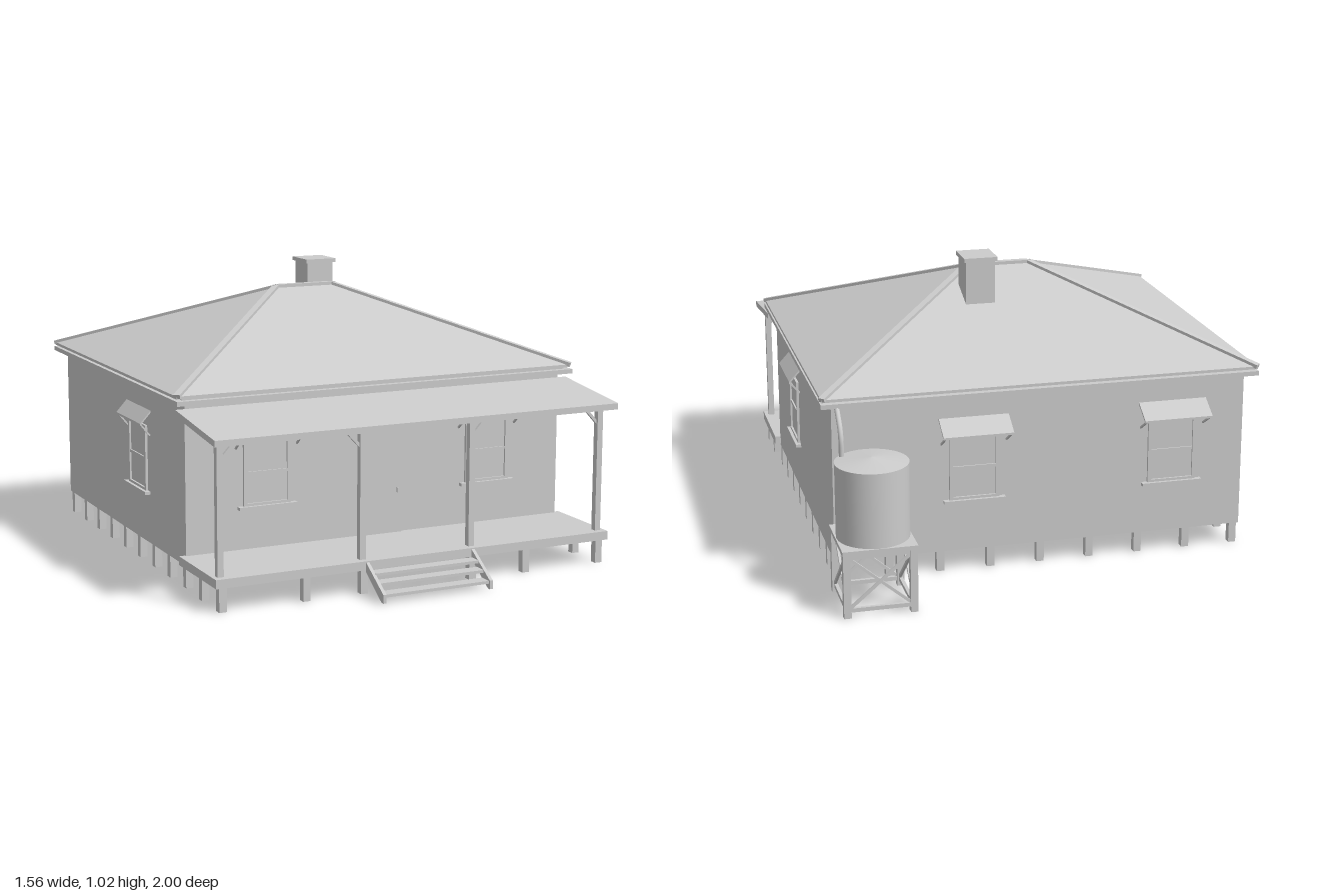
import * as THREE from 'three';

export function createModel() {
  const root = new THREE.Group();
  root.name = 'house';
  const grey = new THREE.MeshStandardMaterial({ color: 0xcccccc });
  grey.name = 'plain grey';

  const add = (parent, name, geo, x = 0, y = 0, z = 0) => {
    const m = new THREE.Mesh(geo, grey);
    m.name = name;
    m.position.set(x, y, z);
    parent.add(m);
    return m;
  };
  // box given by its minimum and maximum on each axis
  const box = (parent, name, x0, x1, y0, y1, z0, z1) =>
    add(parent, name, new THREE.BoxGeometry(x1 - x0, y1 - y0, z1 - z0), (x0 + x1) / 2, (y0 + y1) / 2, (z0 + z1) / 2);
  // straight bar between two points in the parent's own frame
  const up = new THREE.Vector3(0, 1, 0);
  const bar = (parent, name, a, b, w, h = w) => {
    const p = new THREE.Vector3(...a), q = new THREE.Vector3(...b);
    const m = add(parent, name, new THREE.BoxGeometry(w, h, p.distanceTo(q)));
    m.quaternion.setFromRotationMatrix(new THREE.Matrix4().lookAt(q, p, up));
    m.position.copy(p).add(q).multiplyScalar(0.5);
  };
  const group = (name, parent = root) => {
    const g = new THREE.Group();
    g.name = name;
    parent.add(g);
    return g;
  };
  // side outline in (z, y) extruded along x
  const sideExtrude = (parent, name, pts, x0, x1) => {
    const shape = new THREE.Shape(pts.map(([z, y]) => new THREE.Vector2(-z, y)));
    const geo = new THREE.ExtrudeGeometry(shape, { depth: x1 - x0, bevelEnabled: false });
    geo.rotateY(Math.PI / 2);
    add(parent, name, geo, x0, 0, 0);
  };

  // Walls
  const WX = 0.735, ZF = 0.55, ZB = -0.70;
  box(root, 'walls', -WX, WX, 0.08, 0.66, ZB, ZF);

  // Hipped roof
  const RX = 0.772, RF = 0.575, RB = -0.735, EY = 0.675, RY = 0.936, RZ = -0.078, HX = 0.115;
  const A = [-RX, EY, RF], B = [RX, EY, RF], C = [RX, EY, RB], D = [-RX, EY, RB];
  const L = [-HX, RY, RZ], R = [HX, RY, RZ];
  const roofGeo = new THREE.BufferGeometry();
  const faces = [A, B, R, A, R, L, B, C, R, C, D, L, C, L, R, D, A, L, A, D, C, A, C, B];
  roofGeo.setAttribute('position', new THREE.Float32BufferAttribute(faces.flat(), 3));
  roofGeo.computeVertexNormals();
  const roof = group('roof');
  add(roof, 'roofSlopes', roofGeo);
  box(roof, 'roofEave', -RX, RX, 0.665, EY, RB, RF);
  box(roof, 'soffit', -0.75, 0.75, 0.655, 0.667, -0.715, 0.565);
  [[A, L], [D, L], [B, R], [C, R], [L, R]].forEach(([p, q]) => bar(roof, 'ridgeCap', p, q, 0.024, 0.014));
  // Gutters
  box(roof, 'frontGutter', -0.775, 0.775, 0.643, 0.659, ZF, 0.587);
  box(roof, 'backGutter', -0.775, 0.775, 0.643, 0.659, -0.74, ZB);
  for (const s of [-1, 1]) add(roof, 'sideGutter', new THREE.BoxGeometry(0.04, 0.016, 1.327), s * 0.755, 0.651, -0.0765);

  // Chimney
  const chimney = group('chimney');
  box(chimney, 'chimneyStack', 0.066, 0.172, 0.78, 1.006, -0.30, -0.187);
  box(chimney, 'chimneyCap', 0.058, 0.18, 1.003, 1.017, -0.308, -0.18);

  // Verandah
  const verandah = group('verandah');
  sideExtrude(verandah, 'verandahRoof', [[ZF, 0.626], [ZF, 0.604], [0.897, 0.563], [0.897, 0.585]], -0.768, 0.768);
  box(verandah, 'verandahDeck', -0.757, 0.757, 0.085, 0.116, ZF - 0.01, 0.87);
  for (const x of [-0.73, -0.21, 0.21, 0.73]) {
    box(verandah, 'verandahPost', x - 0.011, x + 0.011, 0.11, 0.575, 0.822, 0.845);
    const s = (Math.abs(x) > 0.5 ? -1 : 1) * Math.sign(x);
    bar(verandah, 'postBrace', [x + s * 0.008, 0.508, 0.833], [x + s * 0.062, 0.566, 0.833], 0.01);
  }

  // Front steps
  const steps = group('frontSteps');
  for (const s of [-1, 1]) {
    const x = s * 0.204;
    sideExtrude(steps, 'stringer', [[0.87, 0.112], [0.87, 0.078], [0.985, 0.002], [0.998, 0.002], [0.998, 0.032]], x - 0.006, x + 0.006);
  }
  [[0.885, 0.079], [0.92, 0.054], [0.957, 0.025]].forEach(([z, y]) =>
    box(steps, 'tread', -0.2, 0.2, y - 0.005, y + 0.005, z - 0.012, z + 0.034));

  // Stumps: perimeter rows, a sparse inner grid and the verandah rows
  const stumps = group('stumps');
  const stump = (x, z) => box(stumps, 'stump', x - 0.0135, x + 0.0135, 0, 0.09, z - 0.0135, z + 0.0135);
  for (let i = 0; i < 9; i++) {
    const x = -0.72 + i * 0.18;
    for (let j = 0; j < 9; j++) {
      const edge = i === 0 || i === 8 || j === 0 || j === 8;
      if (edge || (i % 2 === 0 && j % 2 === 0)) stump(x, -0.67 + j * 0.15);
    }
  }
  for (const s of [-1, 1]) {
    stump(s * 0.728, 0.695);
    for (const x of [0.728, 0.425, 0.21]) stump(s * x, 0.845);
  }

  // Window facing +z, with sash, sill and sloping awning
  const makeWindow = (name, x, z, turn, depth) => {
    const g = group(name);
    g.position.set(x, 0, z);
    g.rotation.y = turn;
    box(g, 'pane', -0.08, 0.08, 0.27, 0.5, -0.004, 0.002);
    for (const s of [-1, 1]) box(g, 'frameSide', s * 0.082 - 0.006, s * 0.082 + 0.006, 0.268, 0.505, -0.004, 0.009);
    box(g, 'frameTop', -0.08, 0.08, 0.494, 0.505, -0.004, 0.009);
    box(g, 'frameBottom', -0.08, 0.08, 0.268, 0.278, -0.004, 0.009);
    box(g, 'sashRail', -0.078, 0.078, 0.378, 0.389, -0.004, 0.007);
    box(g, 'sill', -0.109, 0.109, 0.258, 0.269, -0.004, 0.02);
    sideExtrude(g, 'awning', [[-0.002, 0.566], [-0.002, 0.558], [depth, 0.512], [depth, 0.52]], -0.123, 0.123);
    for (const s of [-1, 1])
      bar(g, 'awningStrut', [s * 0.115, 0.473, 0.001], [s * 0.115, 0.515, depth - 0.005], 0.006);
  };
  for (const s of [-1, 1]) {
    makeWindow('frontWindow', s * 0.435, ZF, 0, 0.055);
    makeWindow('sideWindow', s * WX, 0.1, s * Math.PI / 2, 0.04);
  }
  for (const x of [-0.472, 0.243]) makeWindow('backWindow', x, ZB, Math.PI, 0.074);

  // Front door
  const door = group('door');
  box(door, 'doorPanel', -0.075, 0.087, 0.116, 0.498, ZF - 0.004, ZF + 0.009);
  box(door, 'doorHandle', 0.066, 0.071, 0.262, 0.28, ZF, ZF + 0.018);

  // Water tank on its stand: wall, rim and conical lid
  const tank = group('waterTank');
  const TX = 0.632, TZ = -0.873;
  [['tankBase', 0, 0.237, 0.124, 0.237], ['tankWall', 0.124, 0.237, 0.124, 0.497], ['tankLid', 0.125, 0.497, 0, 0.513]]
    .forEach(([name, r0, y0, r1, y1]) =>
      add(tank, name, new THREE.LatheGeometry([new THREE.Vector2(r0, y0), new THREE.Vector2(r1, y1)], 32), TX, 0, TZ));
  box(tank, 'standPlatform', TX - 0.127, TX + 0.127, 0.222, 0.237, TZ - 0.127, TZ + 0.127);
  for (let k = 0; k < 4; k++) {
    const side = group('standSide', tank);
    side.position.set(TX, 0, TZ);
    side.rotation.y = k * Math.PI / 2;
    box(side, 'standLeg', 0.1, 0.125, 0, 0.224, 0.1, 0.125);
    box(side, 'bottomRail', -0.11, 0.11, 0.018, 0.032, 0.106, 0.118);
    box(side, 'topRail', -0.11, 0.11, 0.205, 0.219, 0.106, 0.118);
    for (const s of [-1, 1])
      bar(side, 'crossBrace', [-s * 0.105, 0.03, 0.112 + s * 0.003], [s * 0.105, 0.208, 0.112 + s * 0.003], 0.008, 0.01);
  }

  // Downpipe from the gutter to the tank
  const path = new THREE.CatmullRomCurve3([[-0.725, 0.647], [-0.75, 0.625], [-0.785, 0.59], [-0.8, 0.555], [-0.803, 0.495]]
    .map(([z, y]) => new THREE.Vector3(0.72, y, z)));
  add(root, 'downpipe', new THREE.TubeGeometry(path, 20, 0.009, 10));

  return root;
}
